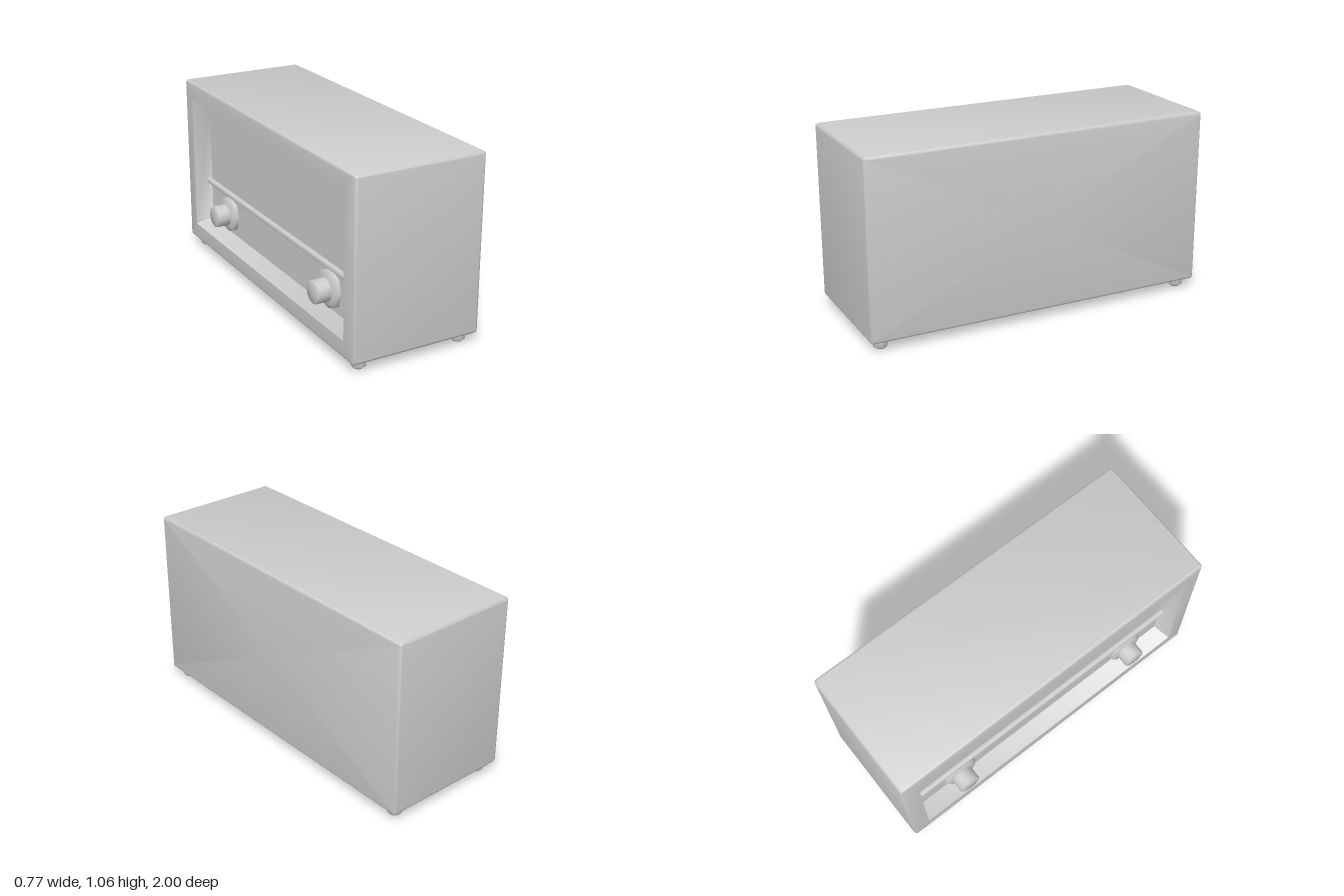
import * as THREE from 'three';
import { toCreasedNormals } from 'three/addons/utils/BufferGeometryUtils.js';

const material = new THREE.MeshStandardMaterial({ color: 0xcccccc });
const CREASE = THREE.MathUtils.degToRad(50);

function part(name, geometry, x = 0, y = 0, z = 0) {
  const mesh = new THREE.Mesh(toCreasedNormals(geometry, CREASE), material);
  mesh.name = name;
  mesh.position.set(x, y, z);
  return mesh;
}

// Rounded rectangle in the yz plane at a given x, as a flat list of points
function section(x, halfY, halfZ, r, steps = 4) {
  const points = [];
  [[1, 1], [-1, 1], [-1, -1], [1, -1]].forEach(([sz, sy], corner) => {
    for (let k = 0; k <= steps; k++) {
      const t = (corner + k / steps) * Math.PI / 2;
      points.push([x, sy * (halfY - r) + r * Math.sin(t), sz * (halfZ - r) + r * Math.cos(t)]);
    }
  });
  return points;
}

// Skin joining consecutive sections
function loft(sections) {
  const n = sections[0].length;
  const index = [];
  for (let i = 0; i < sections.length - 1; i++) {
    for (let j = 0; j < n; j++) {
      const a = i * n + j, b = i * n + (j + 1) % n;
      index.push(a, b, a + n, b, b + n, a + n);
    }
  }
  const geometry = new THREE.BufferGeometry();
  geometry.setAttribute('position', new THREE.Float32BufferAttribute(sections.flat(2), 3));
  geometry.setIndex(index);
  return geometry;
}

function lathe(profile, sides) {
  return new THREE.LatheGeometry(profile.map(([r, y]) => new THREE.Vector2(r, y)), sides);
}

export function createModel() {
  const group = new THREE.Group();
  group.name = 'tabletopRadio';

  // Cabinet: closed rear, rounded edges, flared recess in the -x face
  const back = 0.385, face = -0.375, hy = 0.5025, hz = 1, r = 0.018;
  const sections = [section(back, 0, 0, 0)];
  const edge = (x, inset) => sections.push(section(x, hy - inset, hz - inset, Math.max(r - inset, 0.004)));
  const steps = 4;
  for (let k = 0; k <= steps; k++) {
    const t = k / steps * Math.PI / 2;
    edge(back - r * (1 - Math.cos(t)), r * (1 - Math.sin(t)));
  }
  for (let k = 0; k <= steps; k++) {
    const t = k / steps * Math.PI / 2;
    edge(face + r * (1 - Math.sin(t)), r * (1 - Math.cos(t)));
  }
  const panelX = face + 0.1;
  edge(face, 0.1);
  edge(panelX, 0.128);
  sections.push(section(panelX, 0, 0, 0));
  group.add(part('cabinet', loft(sections), 0, 0.5575, 0));

  // Trim rod across the recessed panel
  const rod = new THREE.CylinderGeometry(0.018, 0.018, 1.77, 12).rotateX(Math.PI / 2);
  group.add(part('trimRod', rod, panelX - 0.014, 0.435, 0));

  // Knobs with octagonal collars
  const collar = [[0.11, 0], [0.11, 0.02], [0.09, 0.035], [0, 0.035]];
  const grip = [[0.065, 0.03], [0.065, 0.11], [0.058, 0.115], [0, 0.115]];
  for (const side of [-1, 1]) {
    const knob = new THREE.Group();
    knob.name = side > 0 ? 'leftKnob' : 'rightKnob';
    knob.position.set(panelX, 0.305, side * 0.605);
    knob.rotation.z = Math.PI / 2;
    knob.add(part('knobCollar', lathe(collar, 8)), part('knobGrip', lathe(grip, 12)));
    group.add(knob);
  }

  // Four chamfered feet
  const foot = [[0, 0], [0.024, 0], [0.04, 0.014], [0.04, 0.06]];
  for (const x of [-0.3, 0.31]) {
    for (const z of [-0.925, 0.925]) group.add(part('foot', lathe(foot, 8), x, 0, z));
  }
  return group;
}
